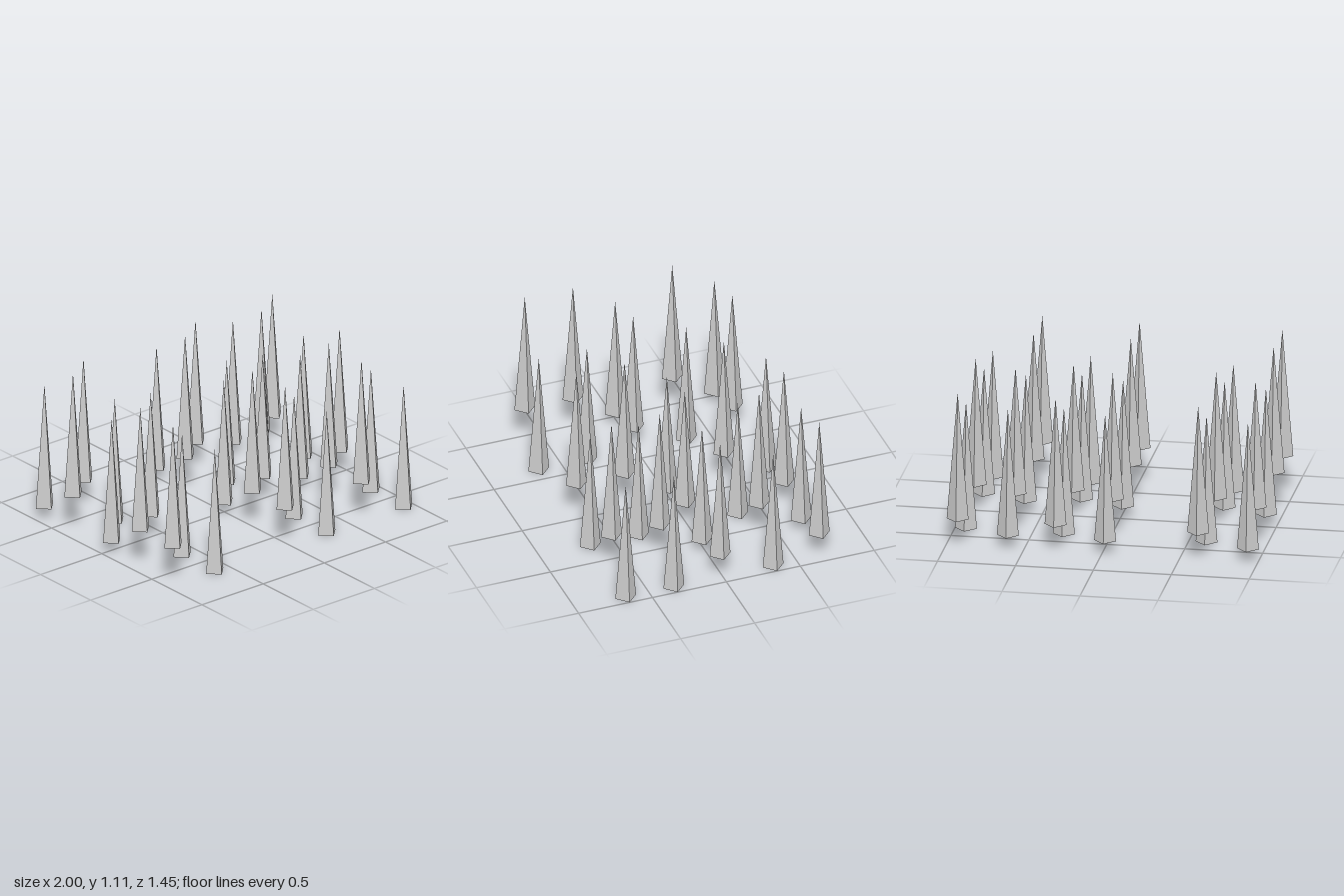
import * as THREE from 'three';

const HEIGHT = 0.845;
const RADIUS = 0.07;

// Two alternating kinds of column; each row is [z, base height]
const columnSets = [
  {
    name: 'raisedSpikes',
    xs: [-0.932, -0.016, 0.608],
    rows: [[-0.655, 0.08], [-0.37, 0.261], [0.016, 0.08], [0.302, 0.261], [0.628, 0.261]],
  },
  {
    name: 'groundSpikes',
    xs: [-0.613, 0.302, 0.93],
    rows: [[-0.655, 0.17], [-0.343, 0], [0.016, 0.17], [0.329, 0], [0.655, 0]],
  },
];

export function createModel() {
  const model = new THREE.Group();
  model.name = 'spikeField';
  const material = new THREE.MeshStandardMaterial({ color: 0xcccccc, flatShading: true });

  // Four-sided spike with its corners on the axes and its base at y = 0
  const spikeGeometry = new THREE.ConeGeometry(RADIUS, HEIGHT, 4).translate(0, HEIGHT / 2, 0);

  for (const { name, xs, rows } of columnSets) {
    const set = new THREE.Group();
    set.name = name;
    for (const x of xs) {
      for (const [z, base] of rows) {
        const spike = new THREE.Mesh(spikeGeometry, material);
        spike.name = 'spike';
        spike.position.set(x, base, z);
        set.add(spike);
      }
    }
    model.add(set);
  }
  return model;
}
